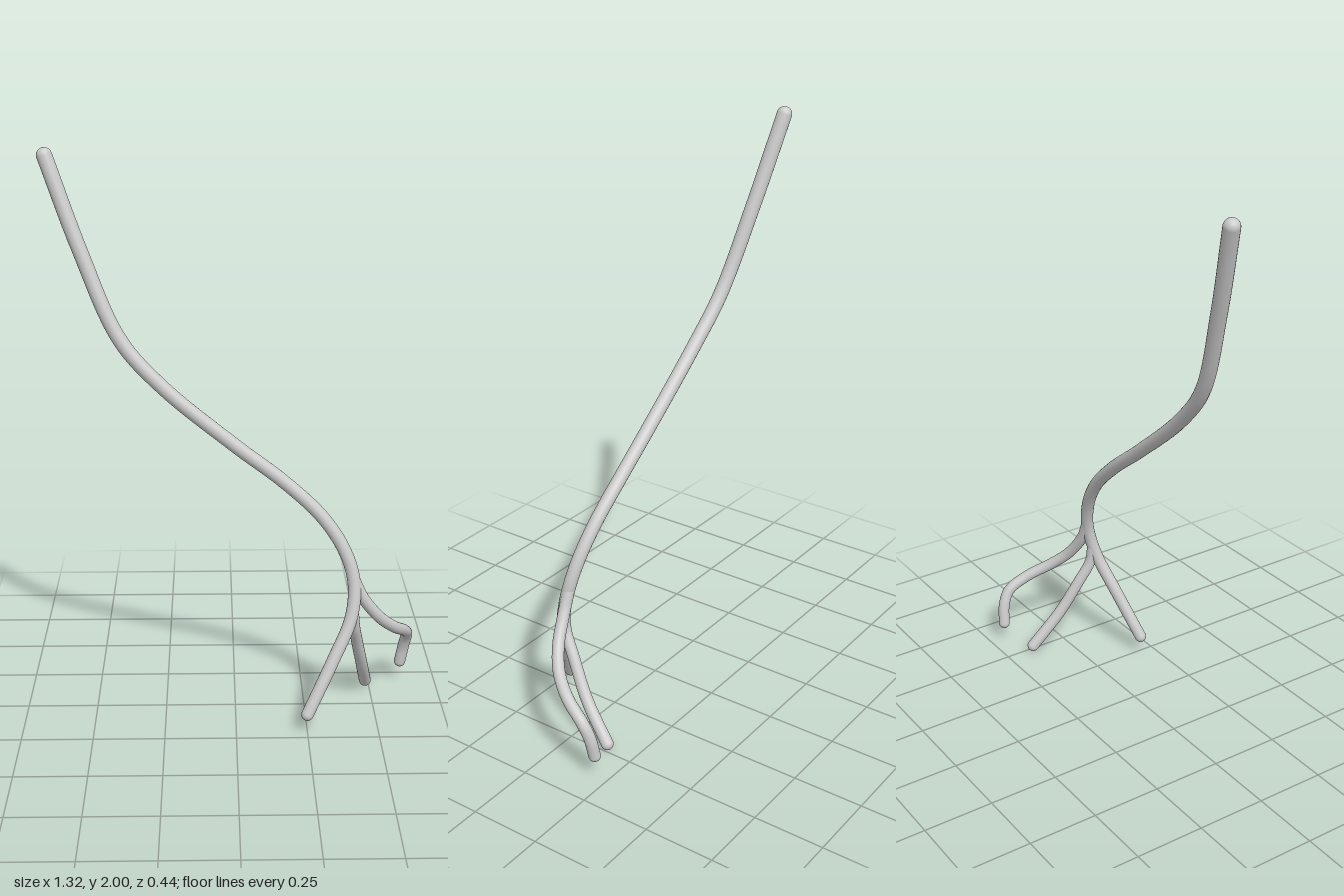
import * as THREE from 'three';

const material = new THREE.MeshStandardMaterial({ color: 0xcccccc });

// Smooth tapered tube through the points, closed by a round tip at each end
function taperedTube(name, points, r0, r1) {
  const group = new THREE.Group();
  group.name = name;
  const curve = new THREE.CatmullRomCurve3(points.map((p) => new THREE.Vector3(...p)));
  const segments = points.length * 10;
  const sides = 20;
  const geometry = new THREE.TubeGeometry(curve, segments, 1, sides, false);
  const pos = geometry.attributes.position;
  const v = new THREE.Vector3();
  for (let i = 0; i <= segments; i++) {
    const t = i / segments;
    const centre = curve.getPointAt(t);
    const radius = THREE.MathUtils.lerp(r0, r1, t);
    for (let j = 0; j <= sides; j++) {
      const k = i * (sides + 1) + j;
      v.fromBufferAttribute(pos, k).sub(centre).multiplyScalar(radius).add(centre);
      pos.setXYZ(k, v.x, v.y, v.z);
    }
  }
  const tube = new THREE.Mesh(geometry, material);
  tube.name = name + 'Tube';
  group.add(tube);

  [[0, r0], [1, r1]].forEach(([t, r]) => {
    const tip = new THREE.Mesh(new THREE.SphereGeometry(r, sides, 12), material);
    tip.name = name + 'Tip';
    tip.position.copy(curve.getPointAt(t));
    group.add(tip);
  });
  return group;
}

export function createModel() {
  const model = new THREE.Group();
  model.name = 'branchingVessel';

  // Long S-shaped trunk running on into the front branch
  model.add(taperedTube('trunk', [
    [-0.63, 1.974, -0.097], [-0.52, 1.67, -0.05], [-0.39, 1.37, -0.005],
    [-0.25, 1.21, 0.013], [0, 1.0, 0.02], [0.167, 0.87, 0.022],
    [0.3, 0.745, 0.033], [0.38, 0.625, 0.05], [0.415, 0.51, 0.07],
    [0.405, 0.39, 0.1], [0.34, 0.245, 0.145], [0.25, 0.065, 0.2],
  ], 0.027, 0.022));

  // Nearly straight branch leaning backwards
  model.add(taperedTube('backBranch', [
    [0.412, 0.43, 0.088], [0.417, 0.36, 0.08], [0.433, 0.275, 0.035],
    [0.46, 0.148, -0.04], [0.486, 0.024, -0.145],
  ], 0.02, 0.022));

  // Side branch that sweeps outwards and hooks down
  model.add(taperedTube('hookedBranch', [
    [0.412, 0.53, 0.065], [0.445, 0.455, 0.062], [0.51, 0.365, 0.038],
    [0.57, 0.303, -0.012], [0.617, 0.255, -0.085], [0.637, 0.205, -0.157],
    [0.632, 0.15, -0.185], [0.62, 0.077, -0.195],
  ], 0.021, 0.021));

  return model;
}
